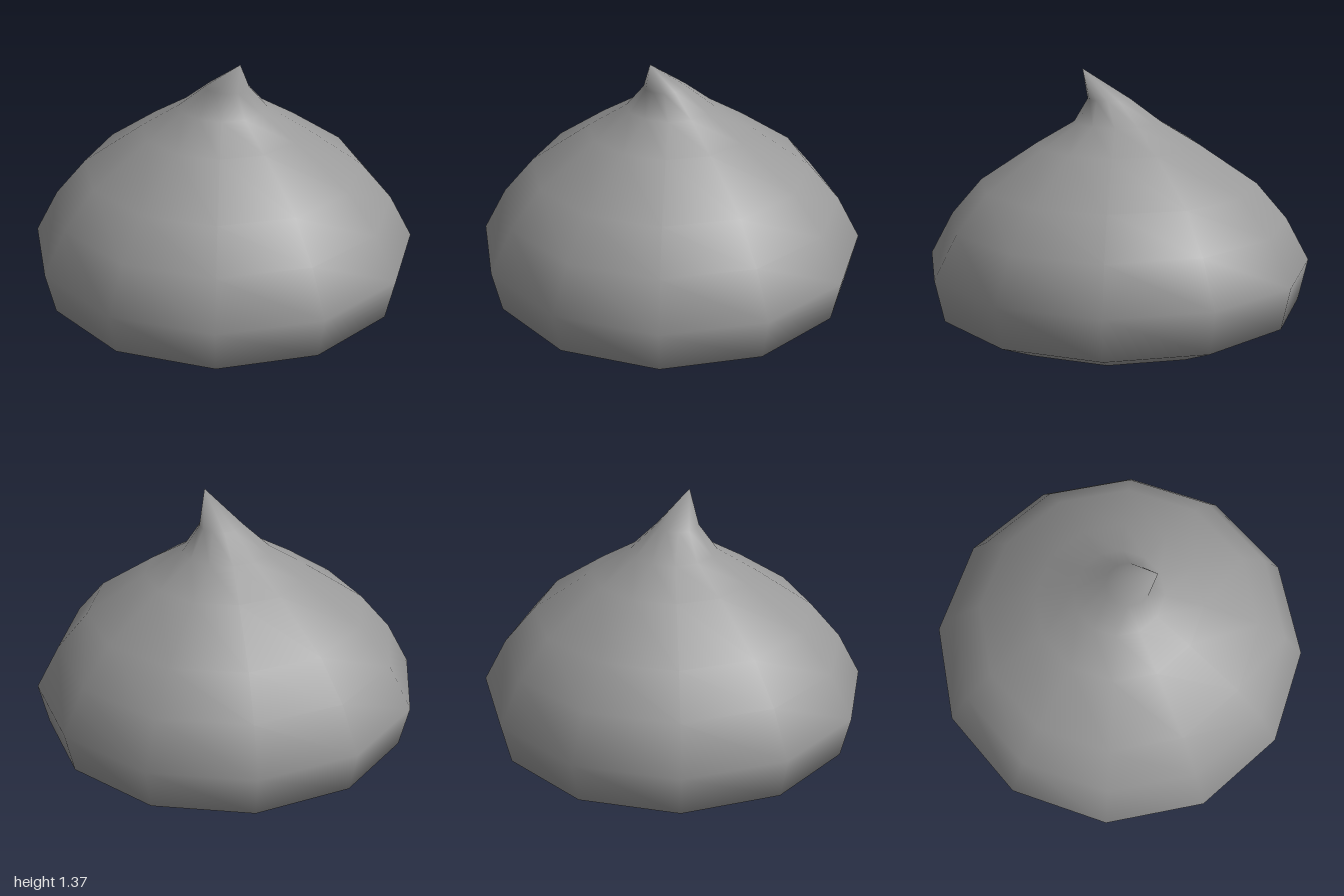
import * as THREE from 'three';
import { mergeVertices } from 'three/addons/utils/BufferGeometryUtils.js';

export function createModel() {
  const group = new THREE.Group();

  // Profile from the centre of the base up to the tip: radius, height
  const profile = [
    [0, 0], [0.5, 0], [0.73, 0.056], [0.955, 0.163], [1, 0.38], [0.88, 0.6],
    [0.72, 0.785], [0.42, 0.985], [0.225, 1.1], [0.11, 1.217], [0, 1.37],
  ].map(([r, y]) => new THREE.Vector2(r, y));

  // Twelve-sided drop
  let geometry = new THREE.LatheGeometry(profile, 12);

  // Curl the peak forward
  const pos = geometry.attributes.position;
  for (let i = 0; i < pos.count; i++) {
    const y = pos.getY(i);
    const shift = y > 1.3 ? 0.18 : y > 1.15 ? 0.045 : 0;
    pos.setZ(i, pos.getZ(i) + shift);
  }

  // Weld the seam and poles so the shading is smooth all round
  geometry.deleteAttribute('uv');
  geometry.deleteAttribute('normal');
  geometry = mergeVertices(geometry, 1e-4);
  geometry.computeVertexNormals();

  const body = new THREE.Mesh(geometry, new THREE.MeshStandardMaterial({ color: 0x999999 }));
  body.name = 'dropBody';
  group.add(body);
  return group;
}
